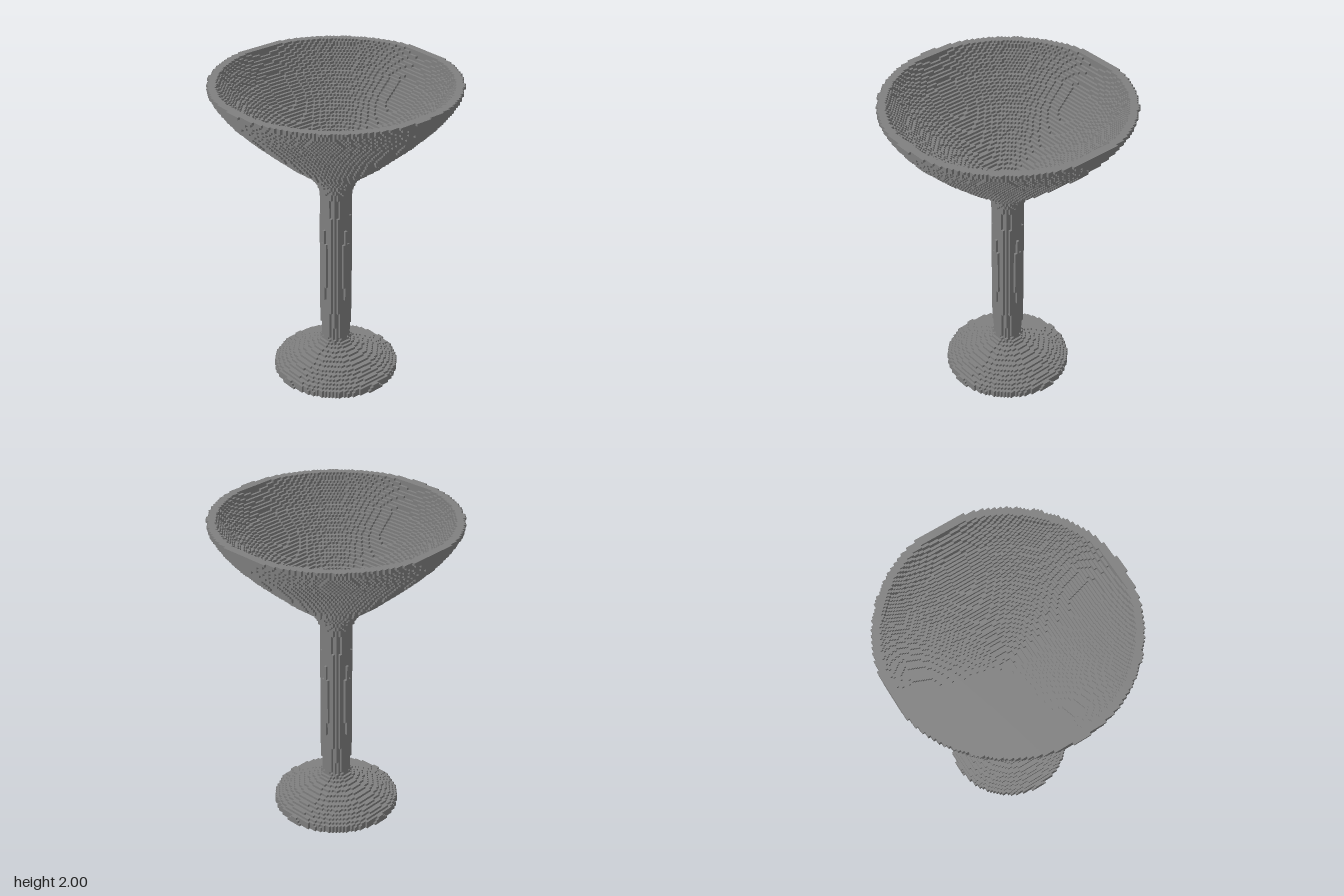
import * as THREE from 'three';

const N = 64;           // cubes per unit
const HALF = 48;        // the cube grid spans -48..47 in x and z
const HEIGHT = 128;
const AXIS = -0.5 / N;  // the axis runs through the middle of a cube

// Profiles as [height, radius]
const OUTER = [
  [0, 0.395], [0.04, 0.391], [0.06, 0.365], [0.12, 0.27], [0.165, 0.175], [0.2, 0.105], [0.24, 0.084],
  [0.32, 0.088], [0.53, 0.0938], [0.78, 0.097], [1.03, 0.0938], [1.2, 0.089], [1.28, 0.092],
  [1.36, 0.123], [1.41, 0.17], [1.52, 0.315], [1.6, 0.405], [1.7, 0.52],
  [1.82, 0.642], [1.9, 0.705], [1.97, 0.748], [2, 0.753],
];
const INNER = [
  [1.4, 0], [1.42, 0.07], [1.45, 0.13], [1.56, 0.29], [1.7, 0.463], [1.84, 0.603], [1.95, 0.684], [2, 0.706],
];

function radiusAt(profile, y) {
  if (y < profile[0][0]) return -1;
  for (let i = 1; i < profile.length; i++) {
    const [y0, r0] = profile[i - 1], [y1, r1] = profile[i];
    if (y <= y1) return r0 + (r1 - r0) * (y - y0) / (y1 - y0);
  }
  return -1;
}

// Outer, inner and underside-recess radius for each layer of cubes
const layers = Array.from({ length: HEIGHT }, (_, j) => {
  const y = (j + 0.5) / N;
  return [radiusAt(OUTER, y), radiusAt(INNER, y), [0.2, 0.09][j] ?? -1];
});

function filled(i, j, k) {
  if (j < 0 || j >= HEIGHT || i < -HALF || i >= HALF || k < -HALF || k >= HALF) return false;
  const r = Math.hypot((i + 0.5) / N - AXIS, (k + 0.5) / N - AXIS);
  const [outer, inner, recess] = layers[j];
  return r <= outer && r > inner && r > recess;
}

// Exposed cube faces of the layers from j0 up to j1
function cubeSurface(j0, j1) {
  const positions = [], normals = [];
  const corners = [[0, 0], [1, 0], [1, 1], [0, 0], [1, 1], [0, 1]];
  for (let j = j0; j < j1; j++)
    for (let i = -HALF; i < HALF; i++)
      for (let k = -HALF; k < HALF; k++) {
        if (!filled(i, j, k)) continue;
        for (let axis = 0; axis < 3; axis++)
          for (const side of [-1, 1]) {
            const n = [0, 0, 0];
            n[axis] = side;
            if (filled(i + n[0], j + n[1], k + n[2])) continue;
            for (const [a, b] of corners) {
              const p = [i, j, k];
              if (side > 0) p[axis] += 1;
              p[(axis + 1) % 3] += side > 0 ? a : b;
              p[(axis + 2) % 3] += side > 0 ? b : a;
              positions.push(p[0] / N, p[1] / N, p[2] / N);
              normals.push(...n);
            }
          }
      }
  const geometry = new THREE.BufferGeometry();
  geometry.setAttribute('position', new THREE.Float32BufferAttribute(positions, 3));
  geometry.setAttribute('normal', new THREE.Float32BufferAttribute(normals, 3));
  return geometry;
}

export function createModel() {
  const group = new THREE.Group();
  group.name = 'goblet';
  const grey = new THREE.MeshStandardMaterial({ color: 0x808080 });
  grey.name = 'grey';

  // Foot, stem and bowl share one cube grid
  for (const [name, j0, j1] of [['foot', 0, 15], ['stem', 15, 81], ['bowl', 81, HEIGHT]]) {
    const mesh = new THREE.Mesh(cubeSurface(j0, j1), grey);
    mesh.name = name;
    group.add(mesh);
  }
  return group;
}
